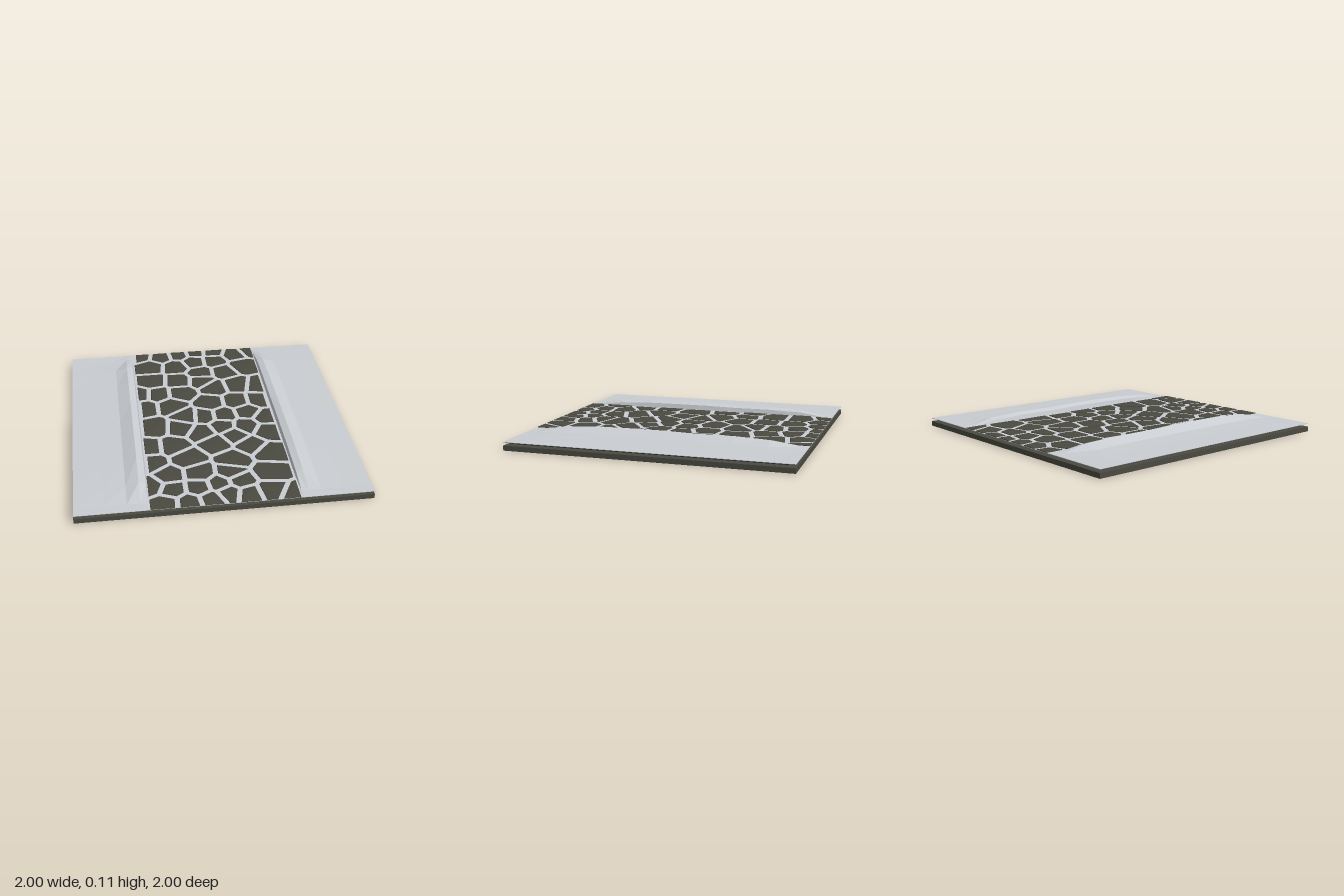
import * as THREE from 'three';

const stoneMat = new THREE.MeshStandardMaterial({ name: 'darkStone', color: 0x4a4a41, flatShading: true });
const snowMat = new THREE.MeshStandardMaterial({ name: 'snow', color: 0xc9cdd1, flatShading: true });

// Approximate stone centres as x, z pairs
const SEEDS = [
  -.44, -.98, -.27, -.95, -.12, -.97, .02, -.99, .17, -.98, .34, -.92, .48, -.97,
  -.37, -.79, -.16, -.77, 0, -.83, .16, -.83, .38, -.72, .03, -.65, .22, -.65,
  -.37, -.57, -.16, -.55, .02, -.53, .11, -.42, .29, -.44, .46, -.4,
  -.48, -.38, -.34, -.37, -.16, -.37, -.25, -.2, -.46, -.2, .05, -.2, .25, -.2, .43, -.2,
  -.15, -.04, -.02, -.03, .13, -.03, .31, -.05, -.4, .08, -.21, .1, -.06, .18, .1, .12,
  .27, .14, .44, .04, -.46, .32, -.29, .32, .02, .32, .17, .24, .27, .38, .42, .22,
  .38, .48, -.46, .5, -.2, .48, .12, .54, -.35, .66, -.14, .66, .08, .67, .34, .7,
  -.34, .81, -.16, .81, -.02, .79, .13, .77, .03, .89, .17, .92, .31, .9,
  -.4, .95, -.24, .96, -.09, .94, .47, .98, -.48, .76
];

function rng(seed) {
  return () => (seed = (seed * 16807) % 2147483647) / 2147483647;
}

function geometryFrom(positions) {
  const g = new THREE.BufferGeometry();
  g.setAttribute('position', new THREE.Float32BufferAttribute(positions, 3));
  g.computeVertexNormals();
  return g;
}

function addMesh(group, name, geometry, material, y = 0) {
  const mesh = new THREE.Mesh(geometry, material);
  mesh.name = name;
  mesh.position.y = y;
  group.add(mesh);
}

// Keep the part of a polygon nearer to a than to b, less half a joint
function clip(poly, a, b, halfGap) {
  const n = [b[0] - a[0], b[1] - a[1]];
  const len = Math.hypot(n[0], n[1]);
  const dist = p => ((p[0] - a[0]) * n[0] + (p[1] - a[1]) * n[1]) / len - len / 2 + halfGap;
  const out = [];
  poly.forEach((p, i) => {
    const q = poly[(i + 1) % poly.length];
    const dp = dist(p), dq = dist(q);
    if (dp <= 0) out.push(p);
    if (dp * dq < 0) {
      const t = dp / (dp - dq);
      out.push([p[0] + (q[0] - p[0]) * t, p[1] + (q[1] - p[1]) * t]);
    }
  });
  return out;
}

// Irregular paving: shrunken cells with a chamfered, slightly domed top
function pavingGeometry() {
  const rand = rng(77);
  const seeds = [];
  for (let i = 0; i < SEEDS.length; i += 2) seeds.push([SEEDS[i], SEEDS[i + 1]]);
  const pos = [];
  for (const a of seeds) {
    const edge = 0.475 + rand() * 0.03;
    let poly = [[-edge, -1], [-edge, 1], [edge, 1], [edge, -1]];
    for (const b of seeds) if (b !== a) poly = clip(poly, a, b, 0.017);
    if (poly.length < 3) continue;
    const cx = poly.reduce((s, p) => s + p[0], 0) / poly.length;
    const cz = poly.reduce((s, p) => s + p[1], 0) / poly.length;
    const peak = [cx + (rand() - 0.5) * 0.04, 0.068 + rand() * 0.003, cz + (rand() - 0.5) * 0.04];
    const low = poly.map(p => [p[0], 0.058, p[1]]);
    const high = poly.map(p => [cx + (p[0] - cx) * 0.97, 0.064 + rand() * 0.002, cz + (p[1] - cz) * 0.97]);
    poly.forEach((_, k) => {
      const m = (k + 1) % poly.length;
      pos.push(...low[k], ...low[m], ...high[m], ...low[k], ...high[m], ...high[k]);
      pos.push(...peak, ...high[k], ...high[m]);
    });
  }
  return geometryFrom(pos);
}

// Snow field with a ridge beside the road; side is +1 or -1
function bankGeometry(side) {
  const zs = [-1, -0.93, -0.75, -0.5, -0.2, 0, 0.25, 0.5, 0.75, 0.93, 1];
  const ridge = [0, 0.004, 0.037, 0.048, 0.047, 0.053, 0.053, 0.051, 0.036, 0.003, 0];
  const xs = [0.505, 0.513, 0.56, 0.65, 0.8, 1];
  const rise = [0, 0.68, 1, 0.26, 0.12, 0];
  const point = (i, j) => [side * xs[i], 0.0602 + ridge[j] * rise[i], zs[j]];
  const pos = [];
  for (let i = 0; i < xs.length - 1; i++) {
    for (let j = 0; j < zs.length - 1; j++) {
      const a = point(i, j), b = point(i, j + 1), c = point(i + 1, j + 1), d = point(i + 1, j);
      const tris = side > 0 ? [a, b, c, a, c, d] : [a, c, b, a, d, c];
      tris.forEach(p => pos.push(...p));
    }
  }
  return geometryFrom(pos);
}

export function createModel() {
  const group = new THREE.Group();
  group.name = 'snowyRoadTile';

  // Foundation slab
  addMesh(group, 'baseSlab', new THREE.BoxGeometry(2, 0.035, 2), stoneMat, 0.0175);

  // Upper layer, tapering inward underneath
  const tray = new THREE.BoxGeometry(2, 0.022, 2);
  const p = tray.attributes.position;
  for (let i = 0; i < p.count; i++) {
    if (p.getY(i) < 0) p.setXYZ(i, p.getX(i) * 0.935, p.getY(i), p.getZ(i) * 0.935);
  }
  tray.computeVertexNormals();
  addMesh(group, 'upperLayer', tray, stoneMat, 0.046);

  // Snow cover, seen in the joints
  addMesh(group, 'snowCover', new THREE.BoxGeometry(2, 0.003, 2), snowMat, 0.0585);

  // Road stones and the banks on both sides
  addMesh(group, 'pavingStones', pavingGeometry(), stoneMat);
  addMesh(group, 'leftSnowBank', bankGeometry(1), snowMat);
  addMesh(group, 'rightSnowBank', bankGeometry(-1), snowMat);
  return group;
}
